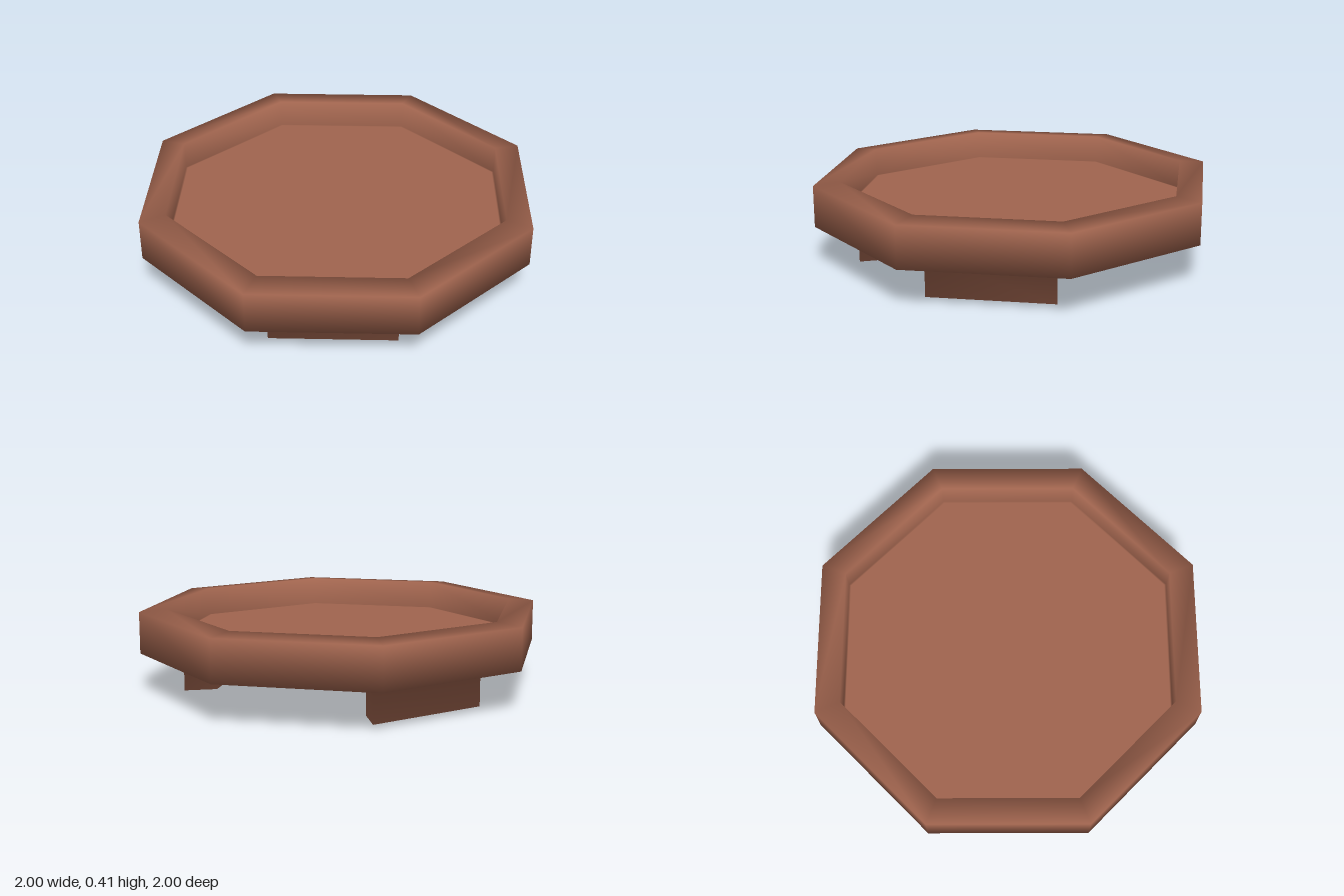
import * as THREE from 'three';
import { mergeVertices } from 'three/addons/utils/BufferGeometryUtils.js';

// Welds a geometry and shades it smoothly, weighted by face area
function smooth(geometry) {
  geometry.deleteAttribute('normal');
  geometry.deleteAttribute('uv');
  const welded = mergeVertices(geometry, 1e-4);
  welded.computeVertexNormals();
  return welded;
}

export function createModel() {
  const group = new THREE.Group();
  const clay = new THREE.MeshStandardMaterial({ color: 0xa0644e });
  clay.name = 'terracotta';

  // Octagonal dish: underside, outer wall, raised rim, inner wall, flat floor
  const profile = [
    [0, 0.195], [1, 0.195], [1, 0.4], [0.87, 0.412], [0.87, 0.27], [0.86, 0.27], [0, 0.27],
  ].map(([r, y]) => new THREE.Vector2(r, y));
  const dish = new THREE.Mesh(new THREE.LatheGeometry(profile, 8), clay);
  dish.name = 'dish';
  group.add(dish);

  // Feet: straight segments of a smaller octagonal ring
  const outer = 0.79, inner = 0.63, height = 0.197;
  const point = (r, a) => new THREE.Vector2(r * Math.sin(a), -r * Math.cos(a));
  const feet = { frontFoot: 0, leftBackFoot: 90, rightBackFoot: 225 };
  for (const [name, degrees] of Object.entries(feet)) {
    const a = THREE.MathUtils.degToRad(degrees);
    const b = a + Math.PI / 4;
    const shape = new THREE.Shape([point(inner, a), point(outer, a), point(outer, b), point(inner, b)]);
    const extruded = new THREE.ExtrudeGeometry(shape, { depth: height, bevelEnabled: false });
    const geometry = smooth(extruded.rotateX(-Math.PI / 2));
    // Blend the tops of the feet into the flat underside
    const { position, normal } = geometry.attributes;
    for (let i = 0; i < position.count; i++) {
      if (position.getY(i) > height / 2) normal.setXYZ(i, 0, -1, 0);
    }
    const foot = new THREE.Mesh(geometry, clay);
    foot.name = name;
    group.add(foot);
  }
  return group;
}
